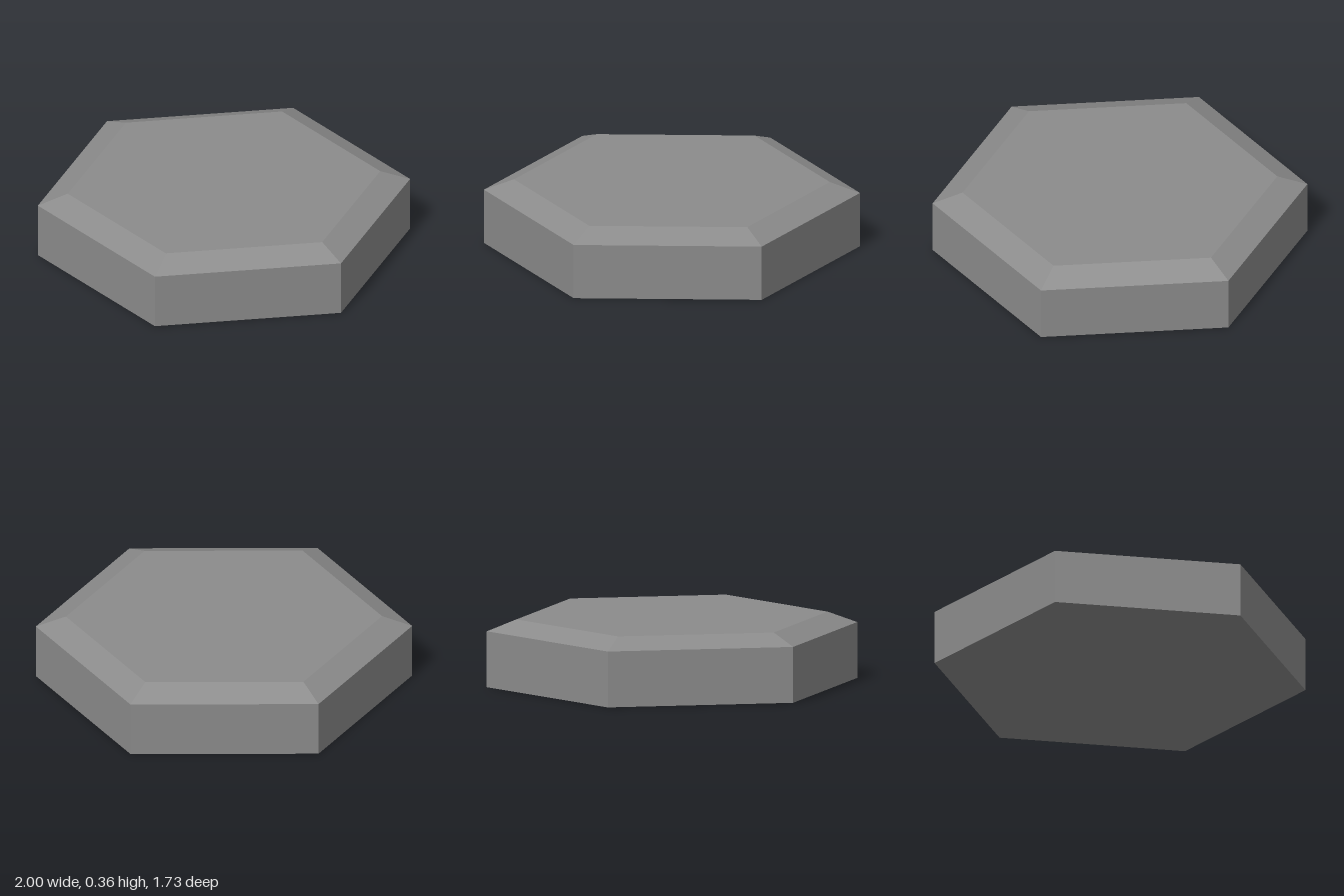
import * as THREE from 'three';

export function createModel() {
  const group = new THREE.Group();
  group.name = 'hexagonalTile';

  // Half cross-section: flat base, upright wall, sloped bevel, flat top
  const profile = [[0, 0], [1, 0], [1, 0.3], [0.84, 0.36], [0, 0.36]]
    .map(([r, y]) => new THREE.Vector2(r, y));

  // Six-sided turn with corners on the x axis, faceted
  const geometry = new THREE.LatheGeometry(profile, 6, Math.PI / 2).toNonIndexed();
  geometry.computeVertexNormals();

  // Dark grey stone
  const tile = new THREE.Mesh(
    geometry,
    new THREE.MeshStandardMaterial({ color: 0x8b8b8b, flatShading: true })
  );
  tile.name = 'bevelledTile';
  group.add(tile);
  return group;
}
